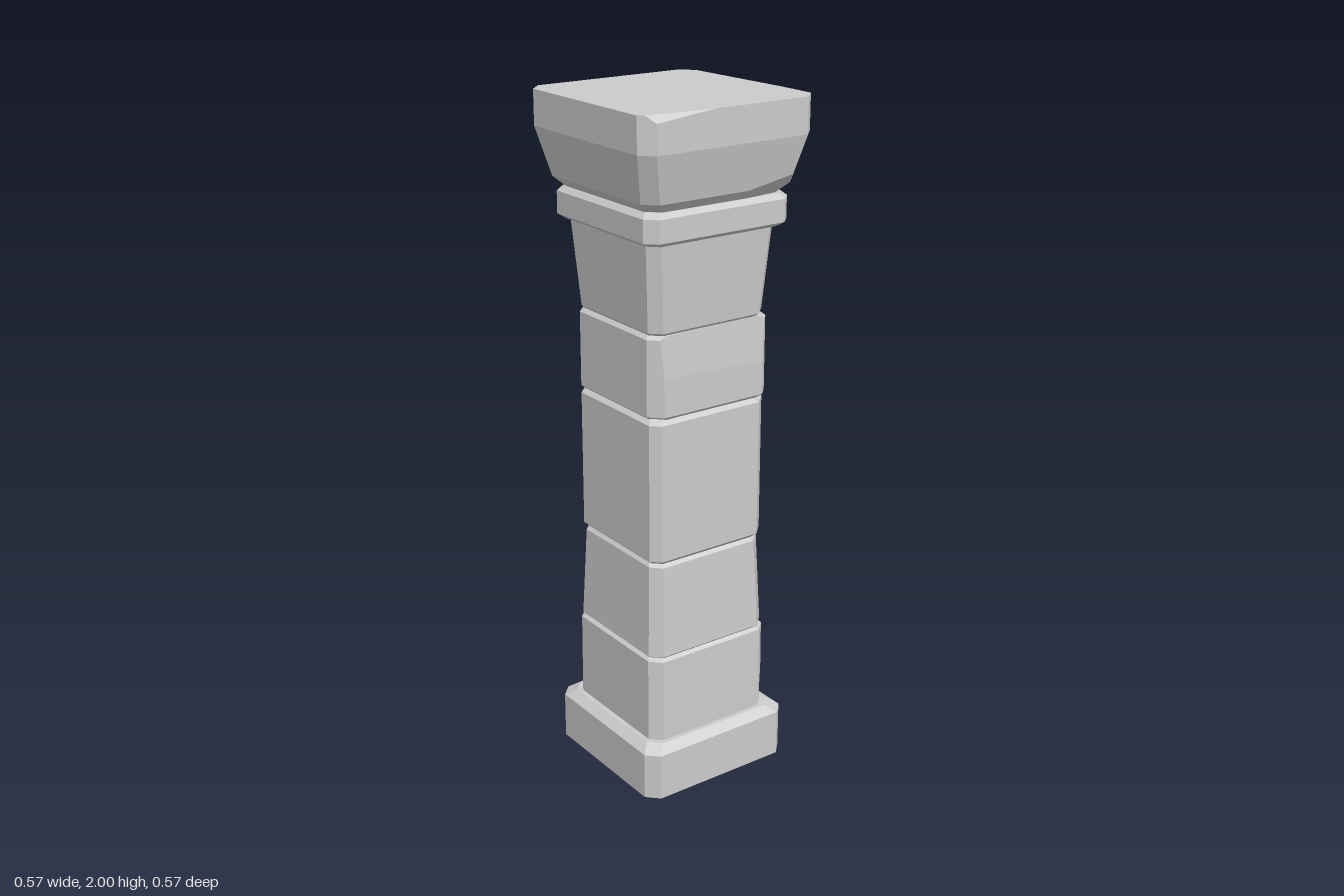
import * as THREE from 'three';
import { ConvexGeometry } from 'three/addons/geometries/ConvexGeometry.js';

const stone = new THREE.MeshStandardMaterial({ color: 0xcccccc, flatShading: true });
const V = (p) => new THREE.Vector3(...p);

// Square ring with cut corners; c = cut size at (+x+z), (+x-z), (-x-z), (-x+z)
function ring(y, h, c) {
  const corners = [[1, 1], [1, -1], [-1, -1], [-1, 1]];
  return corners.flatMap(([sx, sz], i) => [
    new THREE.Vector3(sx * h, y, sz * (h - c[i])),
    new THREE.Vector3(sx * (h - c[i]), y, sz * h),
  ]);
}

// Cut a convex point set with the plane through three points, keeping the core
function chip(points, [a, b, c], core) {
  const plane = new THREE.Plane().setFromCoplanarPoints(V(a), V(b), V(c));
  if (plane.distanceToPoint(core) > 0) plane.negate();
  const dist = points.map((p) => plane.distanceToPoint(p));
  const kept = points.filter((p, i) => dist[i] <= 0);
  points.forEach((p, i) => points.forEach((q, j) => {
    if (dist[i] < -1e-6 && dist[j] > 1e-6) {
      kept.push(p.clone().lerp(q, dist[i] / (dist[i] - dist[j])));
    }
  }));
  return kept;
}

// Stone block from [y, halfWidth] levels, with worn corners and chips
function block(name, levels, corners, chips = []) {
  let points = levels.flatMap(([y, h]) => ring(y, h, corners));
  const core = new THREE.Vector3(0, (levels[0][0] + levels.at(-1)[0]) / 2, 0);
  for (const c of chips) points = chip(points, c, core);
  const mesh = new THREE.Mesh(new ConvexGeometry(points), stone);
  mesh.name = name;
  return mesh;
}

export function createModel() {
  const group = new THREE.Group();
  group.name = 'stonePillar';
  const worn = [0.04, 0.05, 0.04, 0.03];

  group.add(
    block('base', [[0, 0.25], [0.142, 0.25], [0.163, 0.222]], [0.035, 0.04, 0.035, 0.035]),

    // Shaft, bottom to top, with narrow bevels forming the joints
    block('lowerShaft', [[0.16, 0.209], [0.418, 0.208], [0.432, 0.19]], [0.035, 0.05, 0.035, 0.032], [
      [[0.209, 0.27, 0.17], [0.209, 0.165, -0.04], [0.19, 0.165, 0.1]],
    ]),
    block('taperedShaft', [[0.428, 0.2], [0.435, 0.207], [0.71, 0.196], [0.728, 0.18]], [0.042, 0.045, 0.04, 0.03], [
      [[0.207, 0.43, -0.05], [0.197, 0.7, -0.14], [0.165, 0.43, -0.2]],
    ]),
    block('middleShaft', [[0.715, 0.182], [0.733, 0.201], [1.14, 0.201], [1.156, 0.182]], [0.04, 0.054, 0.04, 0.025]),
    block('upperShaft', [[1.146, 0.182], [1.162, 0.201], [1.382, 0.201], [1.397, 0.185]], [0.03, 0.05, 0.04, 0.035], [
      [[-0.08, 1.27, 0.201], [0.2, 1.26, 0.201], [0.1, 1.385, 0.191]],
    ]),
    block('flaredNeck', [[1.385, 0.183], [1.4, 0.197], [1.655, 0.216]], worn, [
      [[0.197, 1.4, -0.05], [0.205, 1.49, -0.16], [0.17, 1.4, -0.19]],
    ]),

    block('collar', [[1.647, 0.222], [1.66, 0.24], [1.724, 0.24], [1.738, 0.225]], [0.035, 0.04, 0.035, 0.03]),

    // Capital with broken edges
    block('capital', [[1.73, 0.215], [1.765, 0.25], [1.9, 0.283], [2, 0.283]], [0.041, 0.054, 0.04, 0.036], [
      [[0.265, 2, -0.25], [0.283, 2, 0.12], [0.283, 1.9, -0.23]],
      [[-0.27, 2, 0.262], [-0.065, 2, 0.283], [-0.25, 1.98, 0.283]],
      [[0.05, 1.762, 0.25], [0.24, 1.795, 0.256], [0.2, 1.75, 0.22]],
    ]),
  );
  return group;
}
